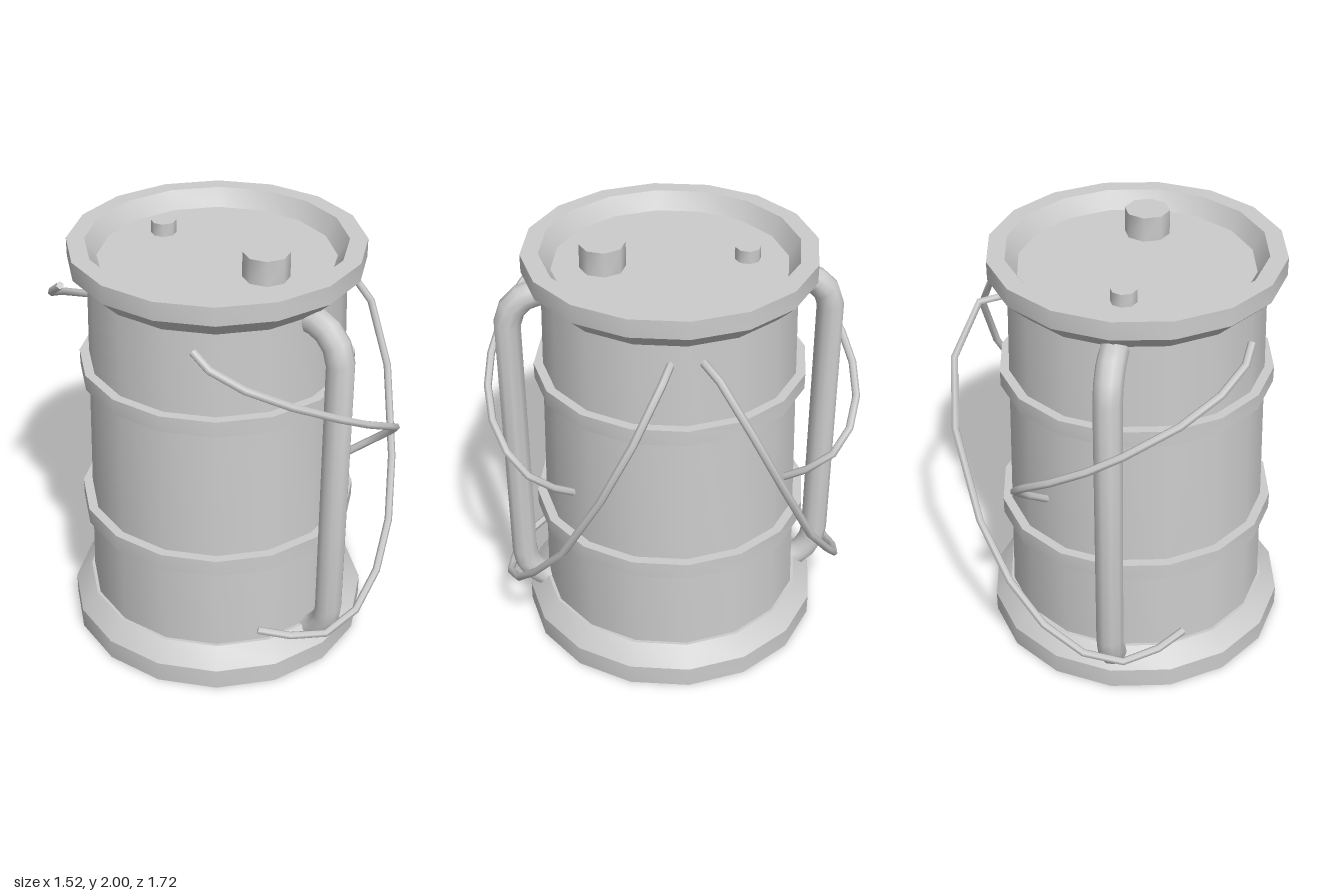
import * as THREE from 'three';
import { toCreasedNormals } from 'three/addons/utils/BufferGeometryUtils.js';

const SIDES = 16;
const CENTER_X = -0.04;
const material = new THREE.MeshStandardMaterial({ color: 0xcccccc });

function addMesh(parent, name, geometry) {
  const mesh = new THREE.Mesh(geometry, material);
  mesh.name = name;
  parent.add(mesh);
  return mesh;
}

// Turned part from [radius, height] pairs, with sharp profile edges
function turned(profile) {
  const points = profile.map(([r, y]) => new THREE.Vector2(r, y));
  return toCreasedNormals(new THREE.LatheGeometry(points, SIDES), 0.5);
}

// Tube whose rings sit exactly on the given points, with closed ends
function addTube(parent, name, points, radius, sides) {
  const tube = new THREE.Group();
  tube.name = name;
  const curve = new THREE.CatmullRomCurve3(points.map((p) => new THREE.Vector3(...p)));
  curve.getPointAt = (t, target) => curve.getPoint(t, target);
  curve.getTangentAt = (t, target) => curve.getTangent(t, target);
  addMesh(tube, name + 'Length', new THREE.TubeGeometry(curve, points.length - 1, radius, sides));
  for (const t of [0, 1]) {
    const cap = addMesh(tube, name + 'End', new THREE.CircleGeometry(radius, sides));
    const outward = curve.getTangent(t).multiplyScalar(t ? 1 : -1);
    cap.position.copy(curve.getPoint(t));
    cap.quaternion.setFromUnitVectors(new THREE.Vector3(0, 0, 1), outward);
  }
  parent.add(tube);
}

export function createModel() {
  const model = new THREE.Group();
  model.name = 'barrel';

  // Flared foot, tapered wall, flared rim and recessed lid
  const drum = new THREE.Group();
  drum.name = 'drum';
  drum.position.x = CENTER_X;
  model.add(drum);
  addMesh(drum, 'drumShell', turned([
    [0, 0], [0.715, 0], [0.715, 0.1], [0.635, 0.185], [0.62, 0.185],
    [0.577, 1.8], [0.66, 1.88], [0.66, 1.965], [0.58, 1.965], [0.53, 1.885], [0, 1.885],
  ]));

  // Raised hoops
  for (const [name, r, y0, y1] of [['lowerHoop', 0.65, 0.61, 0.69], ['upperHoop', 0.63, 1.335, 1.41]]) {
    addMesh(drum, name, turned([[0.57, y0], [r, y0], [r, y1], [0.57, y1]]));
  }

  // Caps on the lid
  for (const [name, r, z, top] of [['largeCap', 0.103, 0.3, 2], ['smallCap', 0.058, -0.345, 1.945]]) {
    const height = top - 1.87;
    const cap = addMesh(drum, name, toCreasedNormals(new THREE.CylinderGeometry(r, r, height, 8), 0.9));
    cap.position.set(0, top - height / 2, z);
  }

  // Pipes and loose wires, the same on the front and the back
  for (const [side, s] of [['front', 1], ['back', -1]]) {
    const pipe = [
      [0.53, 1.78], [0.6, 1.777], [0.66, 1.755], [0.71, 1.705], [0.735, 1.63],
      [0.735, 0.34], [0.725, 0.27], [0.69, 0.205], [0.645, 0.165], [0.58, 0.14],
    ];
    addTube(model, side + 'Pipe', pipe.map(([z, y]) => [CENTER_X, y, s * z]), 0.063, 10);

    const longWire = [
      [0.53, 1.71, 0.07], [0.65, 1.69, 0.12], [0.745, 1.47, 0.25], [0.725, 1.18, 0.39],
      [0.59, 0.8, 0.56], [0.43, 0.57, 0.69], [0.26, 0.4, 0.77], [0.07, 0.29, 0.81],
      [-0.11, 0.24, 0.785], [-0.26, 0.265, 0.7], [-0.36, 0.29, 0.59],
    ];
    addTube(model, side + 'LongWire', longWire.map(([x, y, z]) => [x, y, s * z]), 0.018, 6);

    const shortWire = [
      [-0.59, 1.78, 0.42], [-0.575, 1.72, 0.5], [-0.49, 1.64, 0.62], [-0.34, 1.55, 0.74],
      [-0.12, 1.43, 0.82], [0.03, 1.35, 0.843], [0.19, 1.265, 0.83], [0.32, 1.18, 0.775],
      [0.385, 1.09, 0.69], [0.355, 0.99, 0.58], [0.29, 0.91, 0.49],
    ];
    addTube(model, side + 'ShortWire', shortWire.map(([x, y, z]) => [x, y, s * z]), 0.018, 6);
  }

  return model;
}
